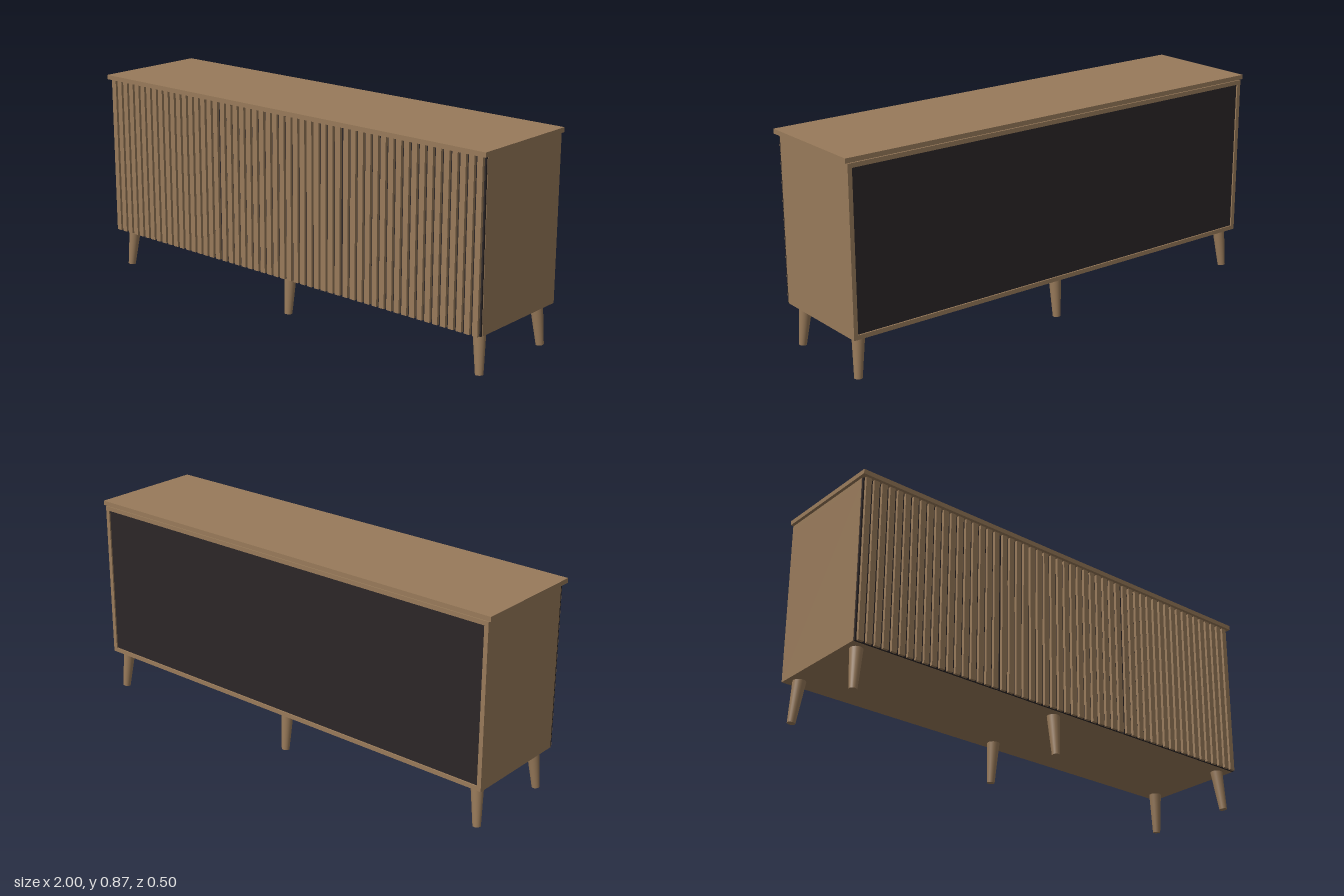
import * as THREE from 'three';

export function createModel() {
  const model = new THREE.Group();
  const wood = new THREE.MeshStandardMaterial({ color: 0x987a5a });
  wood.name = 'walnut wood';
  const dark = new THREE.MeshStandardMaterial({ color: 0x2c2627 });
  dark.name = 'dark backing';

  // Box given by its minimum and maximum corners
  function box(name, material, [x0, y0, z0], [x1, y1, z1], parent = model) {
    const mesh = new THREE.Mesh(new THREE.BoxGeometry(x1 - x0, y1 - y0, z1 - z0), material);
    mesh.position.set((x0 + x1) / 2, (y0 + y1) / 2, (z0 + z1) / 2);
    mesh.name = name;
    parent.add(mesh);
    return mesh;
  }

  const W = 0.99, T = 0.018, bottom = 0.171, top = 0.846, back = -0.248, front = 0.221;

  // Carcass panels
  box('topPanel', wood, [-W, top - T, back], [W, top, front]);
  box('bottomPanel', wood, [-W + T, bottom, back], [W - T, bottom + T, front]);
  for (const s of [-1, 1]) {
    const xs = [s * W, s * (W - T)].sort((a, b) => a - b);
    box(s > 0 ? 'leftSide' : 'rightSide', wood, [xs[0], bottom, back], [xs[1], top - T, front]);
  }
  box('backPanel', dark, [-W + T, bottom + T, back + 0.006], [W - T, top - T, back + 0.014]);

  // Overhanging worktop with a fine shadow gap beneath
  box('worktop', wood, [-1, 0.849, -0.25], [1, 0.868, 0.25]);
  box('shadowGap', dark, [-W + 0.01, top, back + 0.01], [W - 0.01, 0.849, front]);

  // Three slatted doors
  const doorWidth = 0.656, slats = 18, pitch = doorWidth / slats, slatWidth = 0.024;
  for (let d = -1; d <= 1; d++) {
    const door = new THREE.Group();
    door.name = ['rightDoor', 'middleDoor', 'leftDoor'][d + 1];
    door.position.x = d * 0.66;
    model.add(door);
    box('doorBacking', dark, [-doorWidth / 2, bottom, front], [doorWidth / 2, top, 0.229], door);
    for (let i = 0; i < slats; i++) {
      const x = (i + 0.5 - slats / 2) * pitch;
      box('slat', wood, [x - slatWidth / 2, bottom, 0.229], [x + slatWidth / 2, top, 0.241], door);
    }
  }

  // Six tapered legs, splayed outwards
  const up = new THREE.Vector3(0, 1, 0);
  for (const sx of [-1, 0, 1]) {
    for (const [zTop, zFoot] of [[0.172, 0.186], [-0.2, -0.214]]) {
      const a = new THREE.Vector3(sx * 0.957, 0.002, zFoot);
      const b = new THREE.Vector3(sx * 0.942, 0.174, zTop);
      const axis = b.clone().sub(a);
      const leg = new THREE.Mesh(new THREE.CylinderGeometry(0.026, 0.016, axis.length(), 24), wood);
      leg.position.copy(a).add(b).multiplyScalar(0.5);
      leg.quaternion.setFromUnitVectors(up, axis.normalize());
      leg.name = 'leg';
      model.add(leg);
    }
  }
  return model;
}
